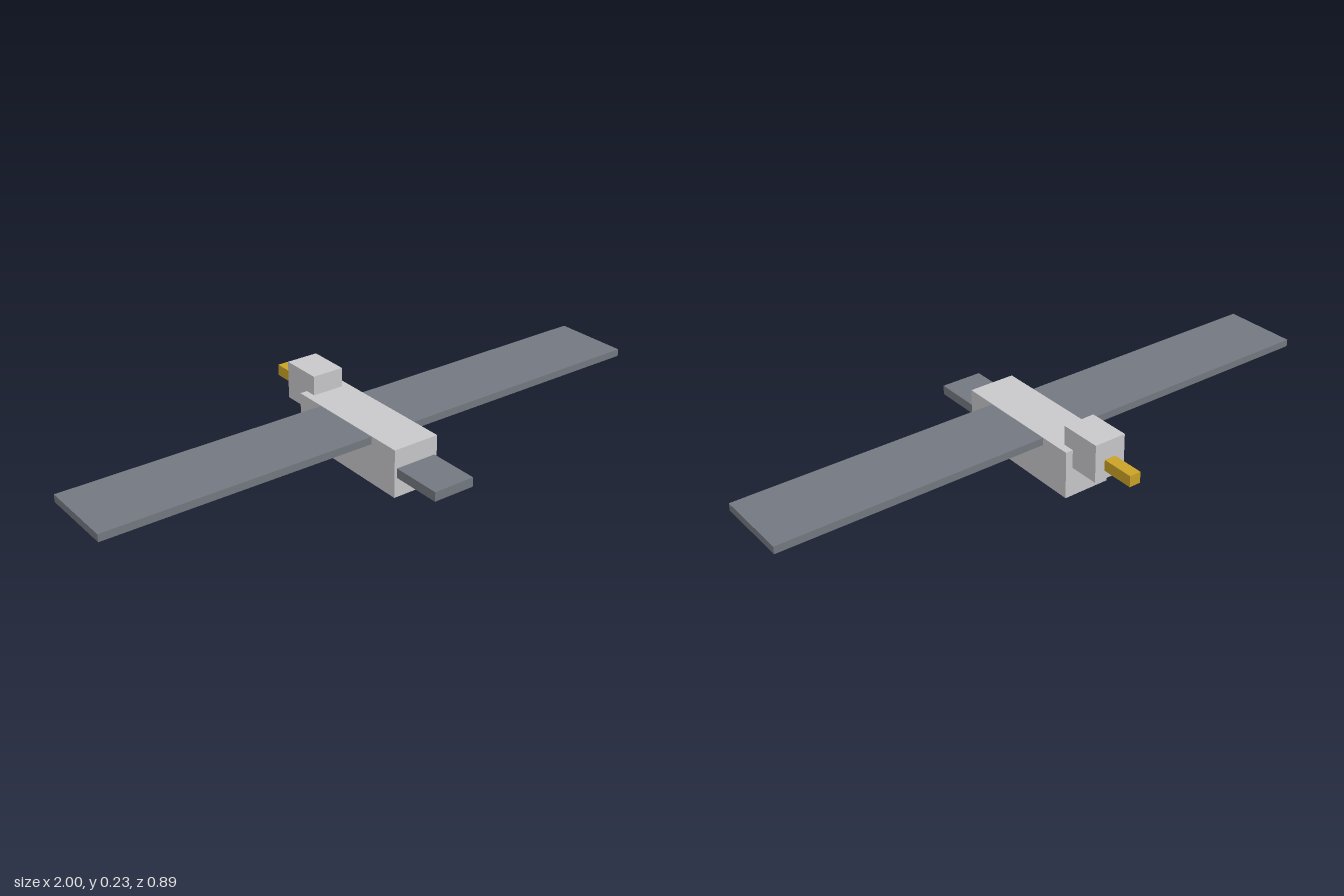
import * as THREE from 'three';

const paleGrey = new THREE.MeshStandardMaterial({ name: 'pale grey', color: 0xc8c8ca });
const slateGrey = new THREE.MeshStandardMaterial({ name: 'slate grey', color: 0x737880 });
const ochre = new THREE.MeshStandardMaterial({ name: 'ochre', color: 0xc9a227 });

// Box given by its [min, max] extent along each axis
function block(name, material, [x0, x1], [y0, y1], [z0, z1]) {
  const mesh = new THREE.Mesh(new THREE.BoxGeometry(x1 - x0, y1 - y0, z1 - z0), material);
  mesh.name = name;
  mesh.position.set((x0 + x1) / 2, (y0 + y1) / 2, (z0 + z1) / 2);
  return mesh;
}

export function createModel() {
  const bird = new THREE.Group();
  bird.name = 'bird';

  // Body, with the head at the back (-z) and the tail at the front (+z)
  bird.add(
    block('body', paleGrey, [-0.082, 0.082], [0, 0.163], [-0.224, 0.267]),
    block('head', paleGrey, [-0.056, 0.056], [0.1, 0.229], [-0.33, -0.184]),
    block('beak', ochre, [-0.02, 0.02], [0.129, 0.167], [-0.444, -0.33]),
    block('tail', slateGrey, [-0.073, 0.073], [0.067, 0.099], [0.25, 0.445]),
  );

  // Outstretched wings, rooted just inside the body
  bird.add(
    block('leftWing', slateGrey, [0.07, 1], [0.136, 0.161], [-0.111, 0.153]),
    block('rightWing', slateGrey, [-1, -0.07], [0.136, 0.161], [-0.111, 0.153]),
  );

  return bird;
}
